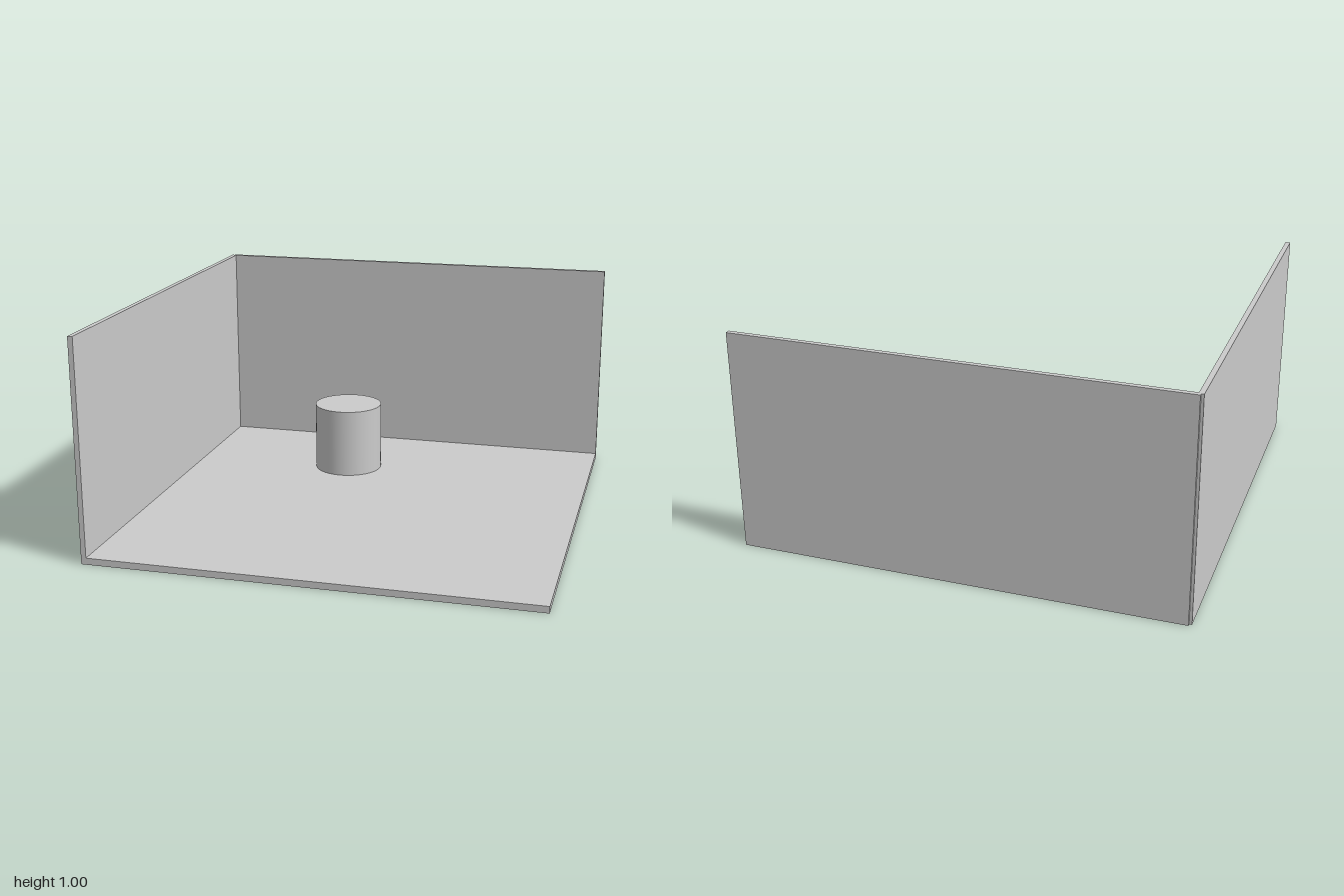
import * as THREE from 'three';

const FLOOR = 0.03; // floor thickness
const WALL = 0.023; // wall thickness
const NOTCH = 0.012; // small open square at the outer wall corner

// Extrudes a footprint of [x, z] points upward from y0 to y1
function slab(name, points, y0, y1, material) {
  const shape = new THREE.Shape(points.map(([x, z]) => new THREE.Vector2(x, -z)));
  const geometry = new THREE.ExtrudeGeometry(shape, { depth: y1 - y0, bevelEnabled: false });
  geometry.rotateX(-Math.PI / 2);
  const mesh = new THREE.Mesh(geometry, material);
  mesh.name = name;
  mesh.position.y = y0;
  return mesh;
}

export function createModel() {
  const group = new THREE.Group();
  group.name = 'openRoom';
  const material = new THREE.MeshStandardMaterial({ color: 0xcccccc });

  // Notched back corner shared by the floor and the walls
  const n = -1 + NOTCH;
  const corner = [[-1, n], [n, n], [n, -1]];

  // Square floor
  group.add(slab('floor', [[-1, 1], ...corner, [1, -1], [1, 1]], 0, FLOOR, material));

  // Side wall and back wall, joined in an L
  const i = -1 + WALL;
  group.add(slab('walls', [[-1, 1], ...corner, [1, -1], [1, i], [i, i], [i, 1]], FLOOR, 1, material));

  // Round pedestal standing on the floor
  const height = 0.33;
  const pedestal = new THREE.Mesh(new THREE.CylinderGeometry(0.165, 0.165, height, 48), material);
  pedestal.name = 'pedestal';
  pedestal.position.set(-0.213, FLOOR + height / 2, -0.474);
  group.add(pedestal);

  return group;
}
